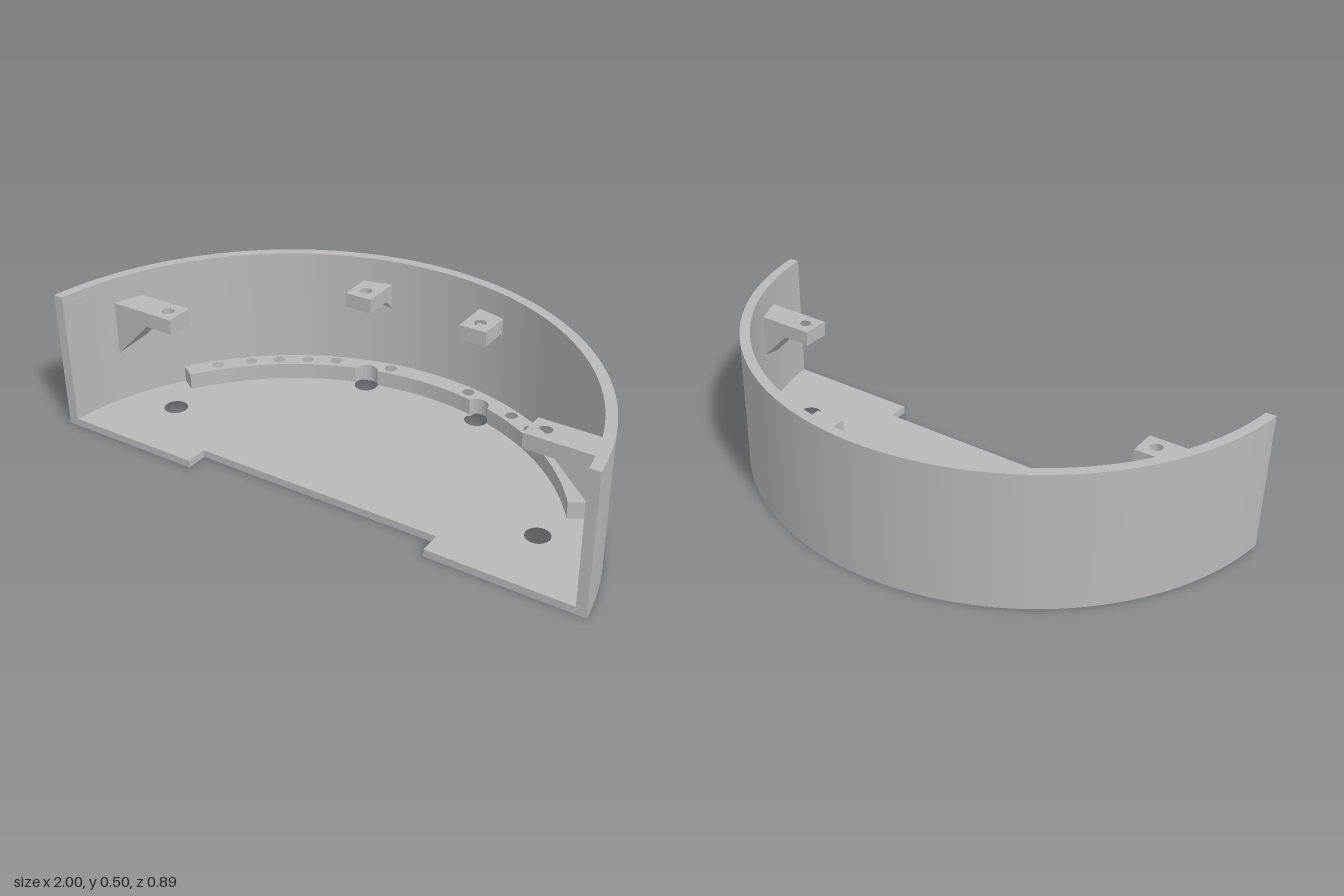
import * as THREE from 'three';
import { toCreasedNormals } from 'three/addons/utils/BufferGeometryUtils.js';
import { ConvexGeometry } from 'three/addons/geometries/ConvexGeometry.js';

const CZ = 0.5587;            // z of the arc centre
const RO = 1.0062, RI = 0.97; // outer and inner wall radius
const FRONT = 0.447, HEIGHT = 0.503;
const FLOOR = 0.027, LEDGE_TOP = 0.087, LEDGE_R = 0.901;
const PEG_R = 0.042, SCREW_R = 0.022;

const rad = THREE.MathUtils.degToRad;
// Plan point [x, z] at radius r, angle t measured from the back
const polar = (r, t) => [r * Math.sin(t), CZ - r * Math.cos(t)];

function arc(radius, from, to, n = 128) {
  const pts = [];
  for (let i = 0; i <= n; i++) {
    const t = from + (to - from) * i / n;
    pts.push(polar(typeof radius === 'function' ? radius(t) : radius, t));
  }
  return pts;
}

// Extrude a plan outline of [x, z] points, with round holes [x, z, r], from y0 to y1
function slab(points, holes, y0, y1) {
  const shape = new THREE.Shape(points.map(([x, z]) => new THREE.Vector2(x, -z)));
  for (const [x, z, r] of holes) {
    shape.holes.push(new THREE.Path().absarc(x, -z, r, 0, Math.PI * 2, true));
  }
  const g = new THREE.ExtrudeGeometry(shape, { depth: y1 - y0, bevelEnabled: false, curveSegments: 16 });
  g.rotateX(-Math.PI / 2).translate(0, y0, 0);
  return toCreasedNormals(g, rad(32));
}

export function createModel() {
  const model = new THREE.Group();
  const grey = new THREE.MeshStandardMaterial({ color: 0xb8b8b8 });
  grey.name = 'plainGrey';
  const add = (name, geometry) => {
    const mesh = new THREE.Mesh(geometry, grey);
    mesh.name = name;
    model.add(mesh);
  };

  const outerEnd = Math.acos((CZ - FRONT) / RO);
  const innerEnd = Math.acos((CZ - FRONT) / RI);

  // Curved wall
  add('curvedWall', slab(
    [...arc(RO, -outerEnd, outerEnd), ...arc(RI, innerEnd, -innerEnd)], [], 0, HEIGHT));

  // Hole positions
  const ledgeHoles = [], pegHoles = [];
  const backPeg = [0.231, -0.302], sidePeg = [0.72, 0.198];
  for (const s of [-1, 1]) {
    for (const a of [10, 23, 29.4, 36, 42.3, 49.9]) {
      ledgeHoles.push([...polar(0.938, s * rad(a)), SCREW_R]);
    }
    for (const [x, z] of [backPeg, sidePeg]) pegHoles.push([s * x, z, PEG_R]);
  }

  // Floor plate with a notch in the front edge
  add('floorPlate', slab(
    [...arc(RI, -innerEnd, innerEnd), [0.457, FRONT], [0.457, 0.369], [-0.457, 0.369], [-0.457, FRONT]],
    [...ledgeHoles, ...pegHoles], 0, FLOOR));

  // Drilled ledge; its inner edge is scooped out around the two back peg holes
  const pegDist = Math.hypot(backPeg[0], CZ - backPeg[1]);
  const pegAngle = Math.atan2(backPeg[0], CZ - backPeg[1]);
  const ledgeEdge = (t) => {
    const d = Math.abs(t) - pegAngle;
    const q = PEG_R ** 2 - (pegDist * Math.sin(d)) ** 2;
    return q > 0 ? Math.max(LEDGE_R, pegDist * Math.cos(d) + Math.sqrt(q)) : LEDGE_R;
  };
  const ledgeEnd = rad(57);
  add('drilledLedge', slab(
    [...arc(RI, -ledgeEnd, ledgeEnd), ...arc(ledgeEdge, ledgeEnd, -ledgeEnd, 480)],
    ledgeHoles, FLOOR, LEDGE_TOP));

  // Bracket: drilled plate plus a 45 degree gusset running into the wall.
  // u points outward to the wall, v runs along it; toXZ maps them to the plan.
  function bracket(name, tip, v0, v1, hole, wallAt, toXZ) {
    const yTop = 0.412, yLow = 0.358, start = tip + 0.106;
    const ends = [v0, v1].map((v) => [wallAt(v) + 0.012, v]);
    const plan = [[tip, v0], ends[0], ends[1], [tip, v1]].map(([u, v]) => toXZ(u, v));
    add(name + 'Plate', slab(plan, [[...hole, SCREW_R]], yLow, yTop));
    const corners = [];
    for (const [u, v] of ends) {
      for (const [cu, y] of [[start, yLow], [u, yLow], [u, yLow - (u - start)]]) {
        const [x, z] = toXZ(cu, v);
        corners.push(new THREE.Vector3(x, y, z));
      }
    }
    add(name + 'Gusset', new ConvexGeometry(corners));
  }

  for (const [s, side] of [[1, 'left'], [-1, 'right']]) {
    bracket(side + 'SideBracket', 0.67, 0.146, 0.249, [s * sidePeg[0], sidePeg[1]],
      (z) => Math.sqrt(RI ** 2 - (CZ - z) ** 2), (u, v) => [s * u, v]);
    bracket(side + 'BackBracket', 0.25, 0.178, 0.282, [s * backPeg[0], backPeg[1]],
      (x) => Math.sqrt(RI ** 2 - x ** 2) - CZ, (u, v) => [s * v, -u]);
  }

  // Flat pad on the inside of the right wall end
  const pad = [];
  for (const y of [FLOOR, 0.48]) {
    for (const [x, z] of [[-0.962, 0.445], [-0.935, 0.285], [-0.972, 0.445], [-0.945, 0.285]]) {
      pad.push(new THREE.Vector3(x, y, z));
    }
  }
  add('flatWallPad', new ConvexGeometry(pad));

  return model;
}
